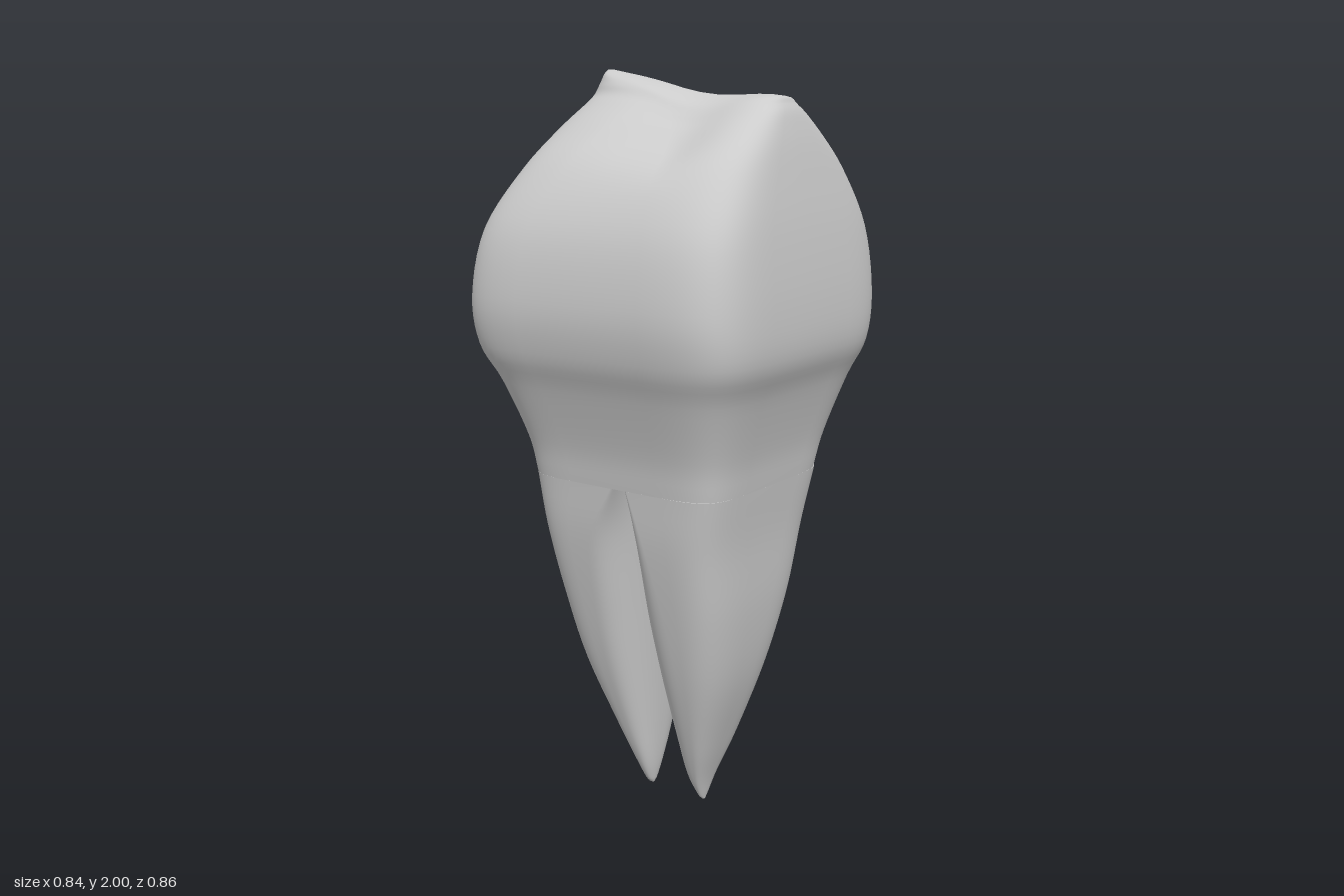
import * as THREE from 'three';

const SEG = 72;
const material = new THREE.MeshStandardMaterial({ color: 0xcccccc });

// Each row is one horizontal section:
// height, centre x, half width, back z, widest z, front z, squareness
const CROWN = [
  [0.95, -0.01, 0.285, -0.295, 0.015, 0.325, 6],
  [1.05, -0.005, 0.31, -0.312, 0.015, 0.342, 6],
  [1.2, 0, 0.365, -0.365, 0.01, 0.385, 6],
  [1.3, 0, 0.405, -0.415, 0, 0.425, 6],
  [1.43, 0, 0.42, -0.425, 0, 0.43, 6],
  [1.6, 0, 0.39, -0.395, 0, 0.415, 6],
  [1.75, 0, 0.305, -0.33, 0.01, 0.39, 5],
  [1.85, 0, 0.205, -0.285, 0.02, 0.368, 4],
  [1.91, 0, 0.13, -0.255, 0.02, 0.345, 3],
  [1.935, 0, 0.095, -0.243, 0, 0.3, 2.6],
  [1.96, 0, 0.07, -0.232, -0.1, 0.03, 2.3],
  [1.985, 0, 0.04, -0.222, -0.18, -0.12, 2],
  [2.0, 0, 0.008, -0.214, -0.207, -0.2, 2],
];
const FRONT_ROOT = [
  [0.95, -0.01, 0.285, 0.035, 0.06, 0.325, 6],
  [0.8, -0.01, 0.265, 0.022, 0.1, 0.305, 4.5],
  [0.6, -0.01, 0.222, 0.012, 0.13, 0.287, 3.6],
  [0.4, -0.015, 0.165, 0.03, 0.14, 0.25, 3],
  [0.2, -0.015, 0.1, 0.055, 0.135, 0.185, 2.6],
  [0.08, -0.02, 0.05, 0.075, 0.12, 0.142, 2.3],
  [0.02, -0.02, 0.022, 0.1, 0.115, 0.125, 2],
  [0, -0.02, 0.006, 0.11, 0.115, 0.12, 2],
].reverse();
// The back root keeps the front root's heights and widths
const BACK_DEPTHS = [
  [-0.295, 0.01, 0.035], [-0.285, -0.08, 0.028], [-0.262, -0.1, 0.008], [-0.225, -0.1, -0.012],
  [-0.15, -0.085, -0.03], [-0.105, -0.07, -0.042], [-0.085, -0.065, -0.052], [-0.075, -0.065, -0.058],
].reverse();
const BACK_ROOT = FRONT_ROOT.map((r, i) => [r[0], r[1], r[2], ...BACK_DEPTHS[i], r[6]]);

// Signed power used by the squared-off oval sections
const spow = (v, p) => Math.sign(v) * Math.pow(Math.abs(v), p);

// Skin smoothly interpolated sections; inner is the side (-1 back, 1 front) kept rounder
function loft(name, rows, inner = 0, deform = null) {
  const size = rows[0].length;
  const spline = new THREE.CubicInterpolant(rows.map((_, i) => i), rows.flat(), size, new Float32Array(size));
  const steps = (rows.length - 1) * 5;
  const pos = [], index = [];
  for (let j = 0; j <= steps; j++) {
    const [y, cx, w, zb, zc, zf, n] = spline.evaluate(j / 5);
    for (let i = 0; i < SEG; i++) {
      const a = (i / SEG) * Math.PI * 2, c = Math.cos(a), s = Math.sin(a);
      const e = 2 / (inner && s * inner > 0 ? Math.min(n, 2.4) : n);
      const p = new THREE.Vector3(cx + w * spow(c, e), y, zc + (s > 0 ? zf - zc : zc - zb) * spow(s, e));
      if (deform) deform(p);
      pos.push(p.x, p.y, p.z);
    }
  }
  for (let j = 0; j < steps; j++) {
    for (let i = 0; i < SEG; i++) {
      const k = (i + 1) % SEG, a = j * SEG + i, b = j * SEG + k;
      index.push(a, a + SEG, b, b, a + SEG, b + SEG);
    }
  }
  // End caps with their own vertices, so the sides keep clean normals
  for (const [ring, up] of [[0, false], [steps, true]]) {
    const start = pos.length / 3;
    pos.push(...pos.slice(ring * SEG * 3, (ring + 1) * SEG * 3));
    for (let i = 1; i < SEG - 1; i++) {
      index.push(start, start + i + (up ? 1 : 0), start + i + (up ? 0 : 1));
    }
  }
  const geometry = new THREE.BufferGeometry();
  geometry.setAttribute('position', new THREE.Float32BufferAttribute(pos, 3));
  geometry.setIndex(index);
  geometry.computeVertexNormals();
  const mesh = new THREE.Mesh(geometry, material);
  mesh.name = name;
  return mesh;
}

// Shallow hollow of the biting surface between the front and back cusps
function hollow(p) {
  const high = THREE.MathUtils.smoothstep(p.y, 1.68, 1.88);
  const side = Math.min(1, Math.abs(p.x) / 0.12);
  p.y -= high * (0.018 + 0.035 * side) * Math.exp(-(((p.z - 0.13) / 0.13) ** 2));
}

export function createModel() {
  const tooth = new THREE.Group();
  tooth.name = 'tooth';
  tooth.add(
    loft('crown', CROWN, 0, hollow),
    loft('frontRoot', FRONT_ROOT, -1),
    loft('backRoot', BACK_ROOT, 1),
  );
  return tooth;
}
